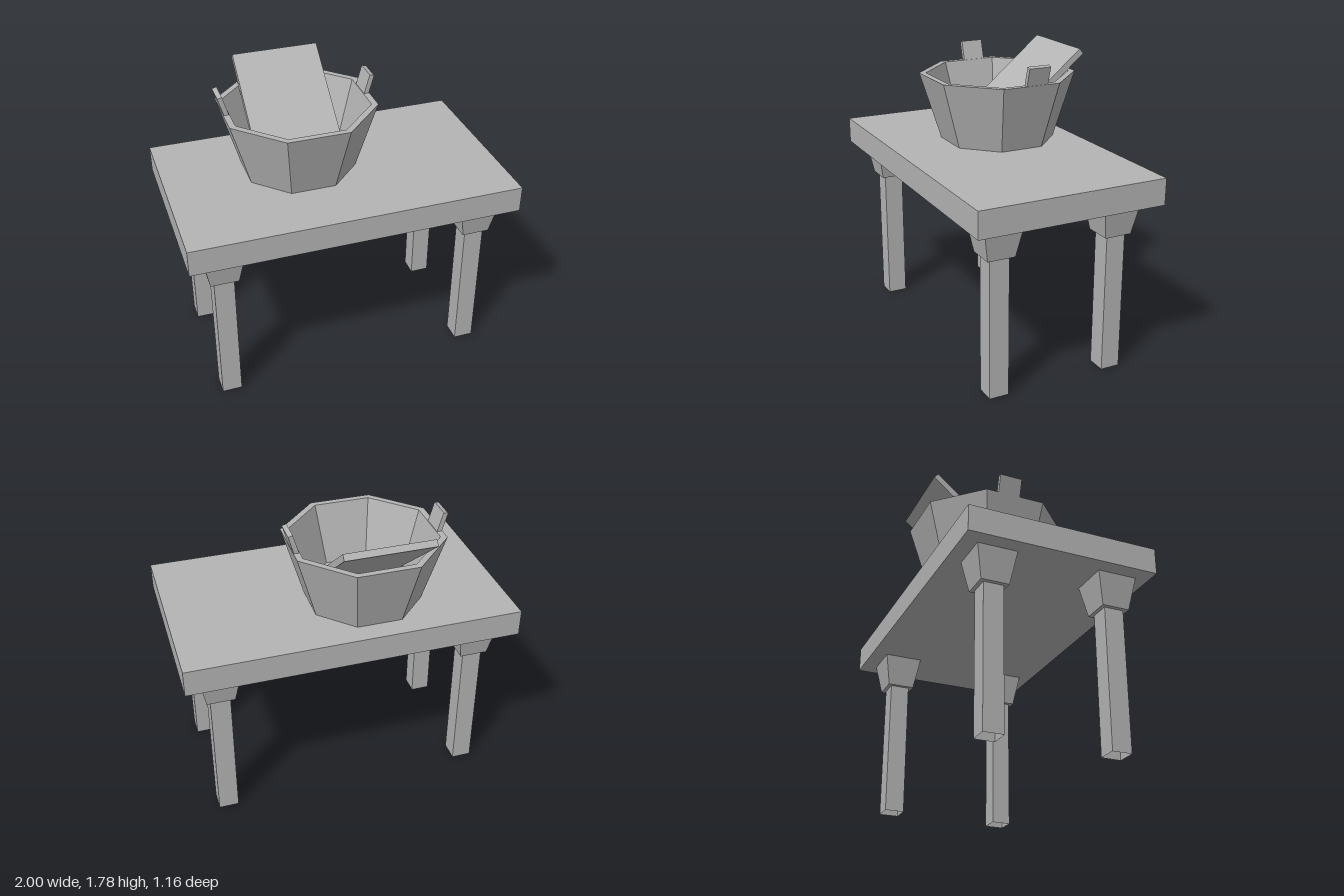
import * as THREE from 'three';

export function createModel() {
  const model = new THREE.Group();
  const grey = new THREE.MeshStandardMaterial({ color: 0xb4b4b4, flatShading: true });
  grey.name = 'plainGrey';
  const greyOpen = grey.clone(); // same grey for open shapes
  greyOpen.side = THREE.DoubleSide;
  greyOpen.name = 'plainGreyOpen';

  const add = (name, geometry, x, y, z, material = grey) => {
    const flat = geometry.index ? geometry.toNonIndexed() : geometry;
    flat.computeVertexNormals();
    const mesh = new THREE.Mesh(flat, material);
    mesh.name = name;
    mesh.position.set(x, y, z);
    model.add(mesh);
    return mesh;
  };

  // Square tapered block, given half widths at top and bottom
  const squareTaper = (top, bottom, height, open = false) =>
    new THREE.CylinderGeometry(top * Math.SQRT2, bottom * Math.SQRT2, height, 4, 1, open)
      .rotateY(Math.PI / 4);

  // Table
  add('tableTop', new THREE.BoxGeometry(2, 0.16, 1.16), 0, 1.13, 0);
  for (const x of [-0.785, 0.785]) {
    for (const z of [0.378, -0.366]) {
      add('tableLeg', squareTaper(0.06, 0.06, 0.86, true), x, 0.43, z, greyOpen);
      add('legBracket', squareTaper(0.12, 0.084, 0.195), x, 0.9525, z);
    }
  }

  // Eight-sided tub; profile uses distances to the flat sides
  const tubX = -0.168, tubZ = -0.122;
  const profile = [[0.328, 1.21], [0.4475, 1.625], [0.41, 1.625], [0.309, 1.27], [0, 1.27]]
    .map(([r, y]) => new THREE.Vector2(r / Math.cos(Math.PI / 8), y));
  add('tub', new THREE.LatheGeometry(profile, 8, Math.PI / 8), tubX, 0, tubZ);

  // Handles continue the slope of the tub wall
  for (const side of [-1, 1]) {
    const handle = add('tubHandle', new THREE.BoxGeometry(0.029, 0.16, 0.14),
      tubX + side * 0.4395, 1.662, -0.16);
    handle.rotation.z = -side * 0.281;
  }

  // Washboard leaning from the tub floor over the back rim
  const board = new THREE.Shape([
    [0.04, 1.287], [-0.554, 1.776], [-0.58, 1.745], [0.014, 1.256],
  ].map(([z, y]) => new THREE.Vector2(-z, y)));
  const boardGeometry = new THREE.ExtrudeGeometry(board, { depth: 0.535, bevelEnabled: false })
    .rotateY(Math.PI / 2);
  add('washboard', boardGeometry, -0.44, 0, 0);

  return model;
}
